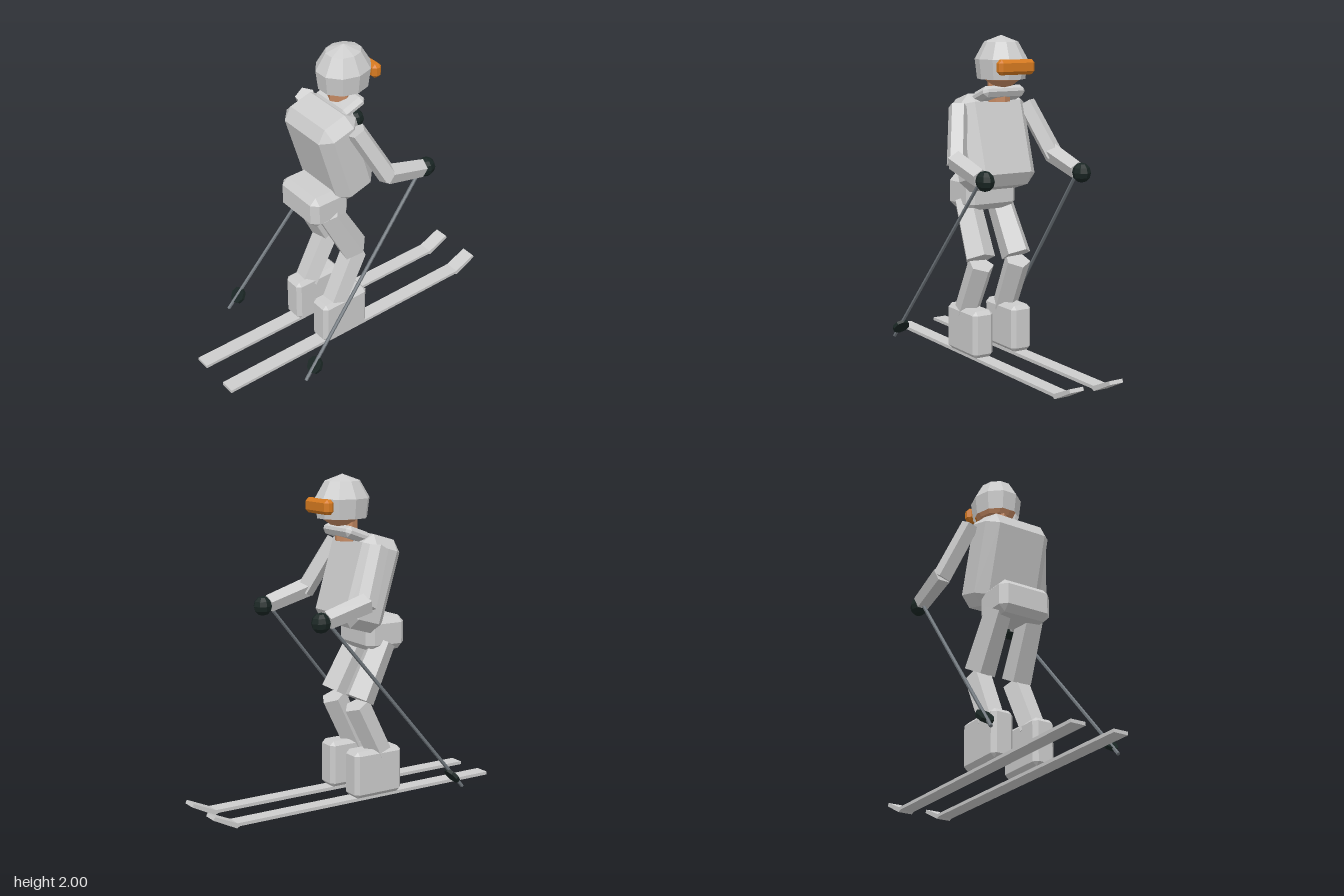
import * as THREE from 'three';
import { ConvexGeometry } from 'three/addons/geometries/ConvexGeometry.js';

const mat = (name, color) => {
  const m = new THREE.MeshStandardMaterial({ color, flatShading: true });
  m.name = name;
  return m;
};
const V = (x, y, z) => new THREE.Vector3(x, y, z);
const UP = V(0, 1, 0);

// Box with every edge cut by a single chamfer
function chamferBox(w, h, d, c) {
  const pts = [], X = w / 2, Y = h / 2, Z = d / 2;
  for (const i of [-1, 1]) for (const j of [-1, 1]) for (const k of [-1, 1]) {
    pts.push(V(i * X, j * (Y - c), k * (Z - c)));
    pts.push(V(i * (X - c), j * Y, k * (Z - c)));
    pts.push(V(i * (X - c), j * (Y - c), k * Z));
  }
  return new ConvexGeometry(pts);
}

export function createModel() {
  const root = new THREE.Group();
  root.name = 'skier';

  const grey = mat('light grey', 0xcccccc);
  const skin = mat('skin', 0xc68a63);
  const orange = mat('orange', 0xd67a20);
  const dark = mat('dark green black', 0x1a2624);
  const steel = mat('steel grey', 0x6f767c);

  const add = (name, geometry, material, x = 0, y = 0, z = 0, tilt = 0) => {
    const mesh = new THREE.Mesh(geometry, material);
    mesh.name = name;
    mesh.position.set(x, y, z);
    mesh.rotation.x = tilt;
    root.add(mesh);
    return mesh;
  };

  // Straight prism running from point a to point b
  const limb = (name, a, b, ra, rb, sides, material) => {
    const dir = b.clone().sub(a);
    const mesh = add(name, new THREE.CylinderGeometry(rb, ra, dir.length(), sides), material);
    mesh.position.copy(a).add(b).multiplyScalar(0.5);
    mesh.quaternion.setFromUnitVectors(UP, dir.normalize());
    return mesh;
  };

  // Head
  const helmet = new THREE.SphereGeometry(1, 10, 3, 0, Math.PI * 2, 0, Math.PI * 0.65);
  helmet.scale(0.157, 0.18, 0.177);
  const shell = grey.clone();
  shell.name = 'light grey shell';
  shell.side = THREE.DoubleSide;
  add('helmet', helmet, shell, 0, 1.82, -0.008);
  const face = new THREE.SphereGeometry(1, 10, 7);
  face.scale(0.132, 0.13, 0.142);
  add('face', face, skin, 0, 1.815, -0.02);
  add('neck', new THREE.CylinderGeometry(0.07, 0.07, 0.14, 8), skin, 0, 1.67, 0.02);
  add('goggles', chamferBox(0.25, 0.09, 0.065, 0.02), orange, 0, 1.815, -0.168);

  // Body
  add('collar', chamferBox(0.295, 0.07, 0.175, 0.025), grey, 0, 1.645, 0.02, 0.35);
  add('torso', chamferBox(0.454, 0.58, 0.28, 0.065), grey, 0, 1.348, 0.1, 0.29);
  add('hips', chamferBox(0.355, 0.21, 0.275, 0.04), grey, 0, 1.033, 0.21);

  // Side profile of a ski with its upturned tip, as (z, y)
  const skiShape = new THREE.Shape([
    [1, 0.01], [-0.83, 0.01], [-0.85, 0], [-1, 0.075],
    [-0.99, 0.095], [-0.845, 0.03], [1, 0.03],
  ].map(([z, y]) => new THREE.Vector2(z, y)));
  const ski = new THREE.ExtrudeGeometry(skiShape, { depth: 0.094, bevelEnabled: false });
  ski.translate(0, 0, -0.047);
  ski.rotateY(-Math.PI / 2);

  for (const s of [1, -1]) {
    const side = s > 0 ? 'left' : 'right';
    const P = (x, y, z) => V(s * x, y, z);

    // Legs
    limb(side + 'Thigh', P(0.118, 0.98, 0.205), P(0.135, 0.64, 0.025), 0.085, 0.097, 5, grey);
    limb(side + 'Shin', P(0.133, 0.61, 0.01), P(0.14, 0.28, 0.175), 0.083, 0.08, 5, grey);
    add(side + 'Boot', chamferBox(0.144, 0.295, 0.34, 0.025), grey, s * 0.14, 0.177, 0.13);
    add(side + 'Ski', ski, grey, s * 0.137, 0, 0);

    // Arms
    limb(side + 'UpperArm', P(0.243, 1.575, 0.09), P(0.35, 1.25, -0.07), 0.06, 0.062, 5, grey);
    limb(side + 'Forearm', P(0.348, 1.272, -0.06), P(0.342, 1.195, -0.33), 0.064, 0.057, 5, grey);
    const glove = new THREE.SphereGeometry(0.061, 8, 6);
    glove.scale(0.9, 1, 1);
    add(side + 'Glove', glove, dark, s * 0.34, 1.185, -0.37);

    // Pole with its basket near the lower end
    limb(side + 'Pole', P(0.34, 1.2, -0.34), P(0.42, 0.065, 0.61), 0.011, 0.011, 6, steel);
    const basket = add(side + 'Basket', new THREE.CylinderGeometry(0.055, 0.055, 0.022, 8), dark,
      s * 0.413, 0.143, 0.535);
    basket.quaternion.setFromUnitVectors(UP, V(0, 0.64, 0.77).normalize());
  }
  return root;
}
